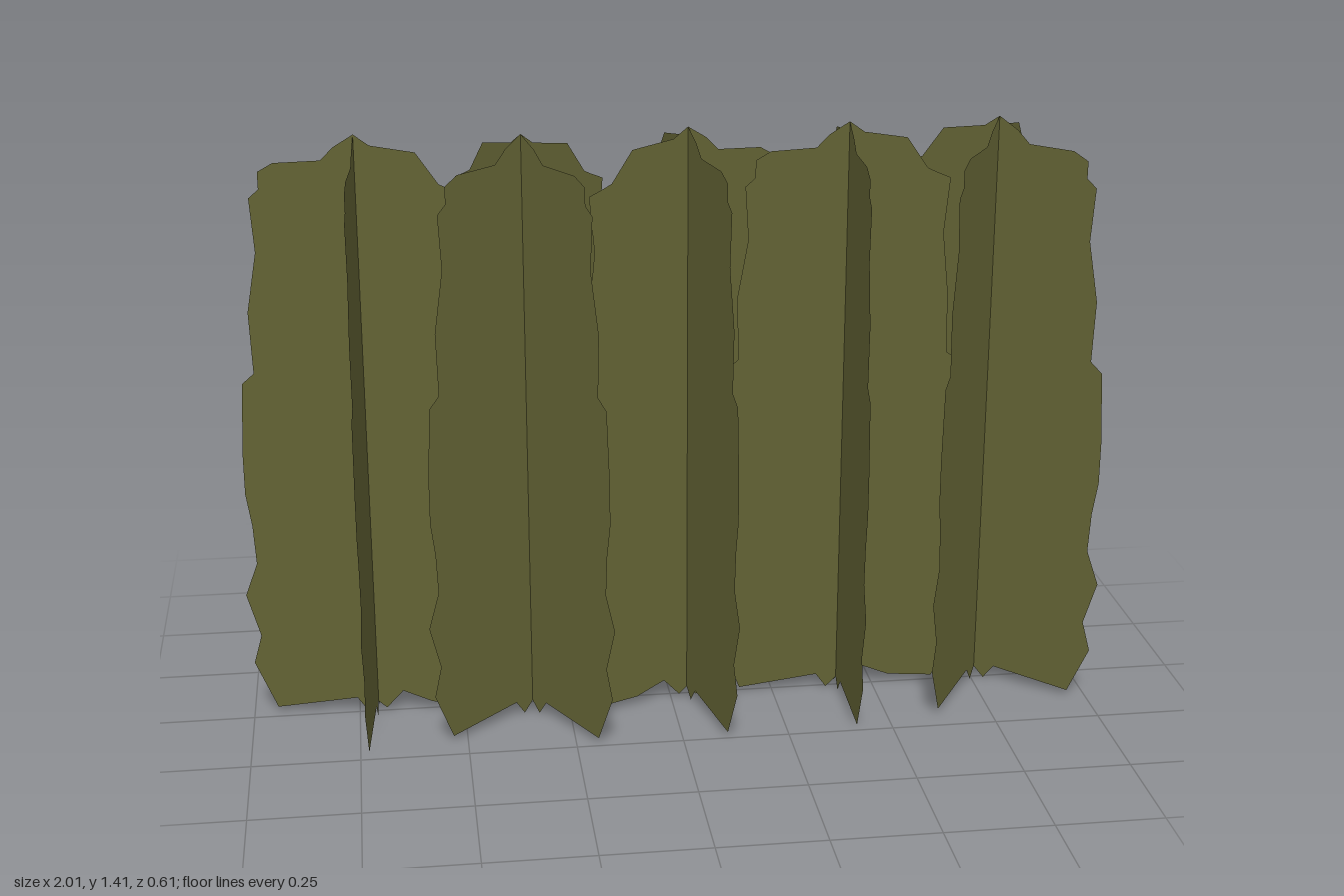
import * as THREE from 'three';

// Ragged foliage card: up the left edge, over the crown, down the right edge, along the base
const outline = [
  [-0.24, 0.013], [-0.29, 0.13], [-0.27, 0.20], [-0.30, 0.305], [-0.27, 0.385], [-0.275, 0.48],
  [-0.287, 0.56], [-0.287, 0.66], [-0.278, 0.83], [-0.25, 0.855], [-0.255, 1.0], [-0.23, 1.14],
  [-0.238, 1.265], [-0.215, 1.285], [-0.215, 1.325], [-0.18, 1.345], [-0.075, 1.35], [-0.045, 1.38],
  [0, 1.408], [0.035, 1.383], [0.135, 1.367], [0.185, 1.295], [0.205, 1.285], [0.24, 1.27],
  [0.228, 1.14], [0.243, 1.0], [0.247, 0.85], [0.275, 0.83], [0.287, 0.64], [0.27, 0.48],
  [0.268, 0.385], [0.30, 0.305], [0.268, 0.20], [0.29, 0.13], [0.24, 0.013], [0.13, 0.023],
  [0.06, 0.052], [0.02, 0.008], [0, 0.025], [-0.025, 0], [-0.05, 0.035],
];

// Position along the row, offset from its line and turn in degrees of each bush
const bushes = [
  [-0.705, 0, -6], [-0.338, 0.042, 35.7], [0.039, 0.015, 106], [0.409, 0.008, 1], [0.76, -0.006, 55],
];

export function createModel() {
  const hedge = new THREE.Group();
  hedge.name = 'hedgeRow';
  const leaves = new THREE.MeshStandardMaterial({ color: 0x626234, side: THREE.DoubleSide });
  const shape = new THREE.Shape(outline.map(([x, y]) => new THREE.Vector2(x, y)));
  const cardGeometry = new THREE.ShapeGeometry(shape);

  bushes.forEach(([x, z, turn], i) => {
    const bush = new THREE.Group();
    bush.name = `bush${i + 1}`;
    // Two upright cards crossing at the bush's axis
    ['foliageCard', 'crossFoliageCard'].forEach((name, k) => {
      const card = new THREE.Mesh(cardGeometry, leaves);
      card.name = name;
      card.rotation.y = k * Math.PI / 2;
      bush.add(card);
    });
    bush.position.set(x, 0, z);
    bush.rotation.y = THREE.MathUtils.degToRad(turn);
    hedge.add(bush);
  });
  return hedge;
}
